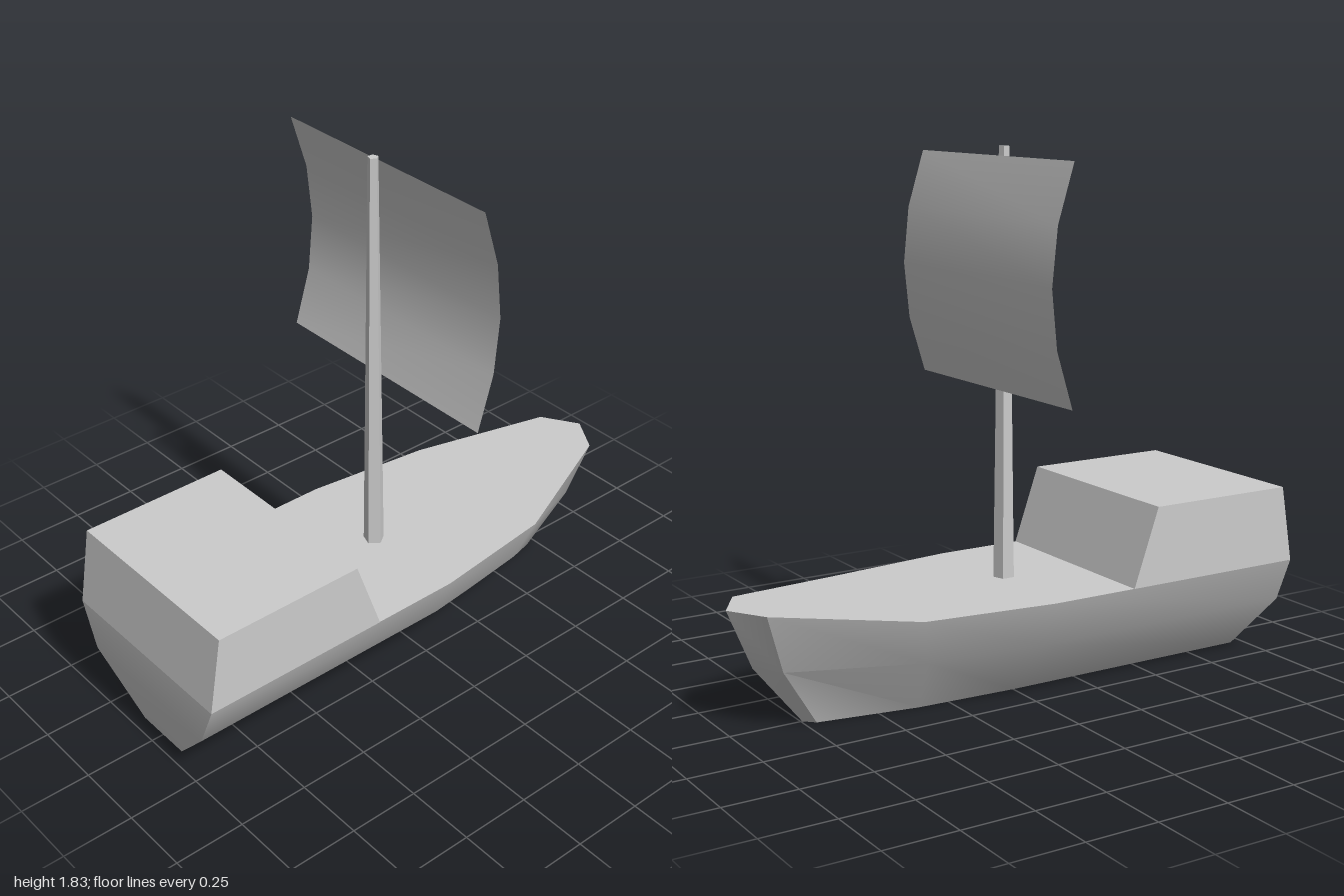
import * as THREE from 'three';
import { toCreasedNormals } from 'three/addons/utils/BufferGeometryUtils.js';

const grey = new THREE.MeshStandardMaterial({ color: 0xcccccc });
const cloth = new THREE.MeshStandardMaterial({ color: 0xcccccc, side: THREE.DoubleSide });

function part(name, geometry, material = grey) {
  const mesh = new THREE.Mesh(geometry, material);
  mesh.name = name;
  return mesh;
}

// Hull stations from stern to bow: [half width, y, z] at deck, chine and keel
const stations = [
  [[0.367, 0.37, 1], [0.3, 0.21, 1], [0.107, 0, 0.955]],
  [[0.365, 0.37, 0], [0.3, 0.21, 0], [0.107, 0, 0]],
  [[0.31, 0.37, -0.46], [0.25, 0.21, -0.42], [0.09, 0, -0.36]],
  [[0.13, 0.415, -0.92], [0.09, 0.21, -0.85], [0.035, 0, -0.71]],
  [[0, 0.415, -1], [0, 0.21, -0.915], [0, 0, -0.745]],
];

function hullGeometry() {
  // Each ring runs down the +x side and back up the mirrored side
  const rings = stations.map((s) => {
    const side = s.map((p) => new THREE.Vector3(...p));
    const mirrored = side.map((p) => new THREE.Vector3(-p.x, p.y, p.z)).reverse();
    return [...side, ...mirrored];
  });
  const positions = [];
  const tri = (a, b, c) => {
    if (new THREE.Triangle(a, b, c).getArea() < 1e-6) return;
    for (const p of [a, b, c]) positions.push(p.x, p.y, p.z);
  };
  const quad = (a, b, c, d) => {
    tri(a, b, c);
    tri(a, c, d);
  };
  // Planking, bottom and deck
  for (let i = 0; i < rings.length - 1; i++) {
    for (let j = 0; j < 6; j++) {
      const k = (j + 1) % 6;
      quad(rings[i][j], rings[i][k], rings[i + 1][k], rings[i + 1][j]);
    }
  }
  // Transom
  const r = rings[0];
  quad(r[0], r[5], r[4], r[1]);
  quad(r[1], r[4], r[3], r[2]);

  const geometry = new THREE.BufferGeometry();
  geometry.setAttribute('position', new THREE.Float32BufferAttribute(positions, 3));
  return toCreasedNormals(geometry, 0.55);
}

// Stern cabin: side profile extruded across the beam
function cabinGeometry() {
  const width = 0.734;
  const profile = new THREE.Shape([
    new THREE.Vector2(-1, 0.37),
    new THREE.Vector2(-0.315, 0.37),
    new THREE.Vector2(-0.41, 0.64),
    new THREE.Vector2(-0.955, 0.64),
  ]);
  return new THREE.ExtrudeGeometry(profile, { depth: width, bevelEnabled: false })
    .translate(0, 0, -width / 2)
    .rotateY(Math.PI / 2);
}

// Sail: a sheet bellied towards the bow
function sailGeometry() {
  const height = 0.775;
  const geometry = new THREE.PlaneGeometry(0.926, height, 1, 4);
  const pos = geometry.attributes.position;
  for (let i = 0; i < pos.count; i++) {
    const t = pos.getY(i) / (height / 2);
    pos.setZ(i, -0.01 - 0.08 * (1 - t * t));
  }
  geometry.translate(0, 1.413, 0);
  geometry.computeVertexNormals();
  return geometry;
}

export function createModel() {
  const ship = new THREE.Group();
  ship.name = 'sailingShip';
  ship.add(part('hull', hullGeometry()));
  ship.add(part('cabin', cabinGeometry()));

  // Five-sided tapered mast
  const mastGeometry = toCreasedNormals(new THREE.CylinderGeometry(0.018, 0.037, 1.46, 5), 0.55);
  const mast = part('mast', mastGeometry);
  mast.rotation.y = Math.PI / 2;
  mast.position.set(0, 1.1, 0.03);
  ship.add(mast);

  ship.add(part('sail', sailGeometry(), cloth));
  return ship;
}
